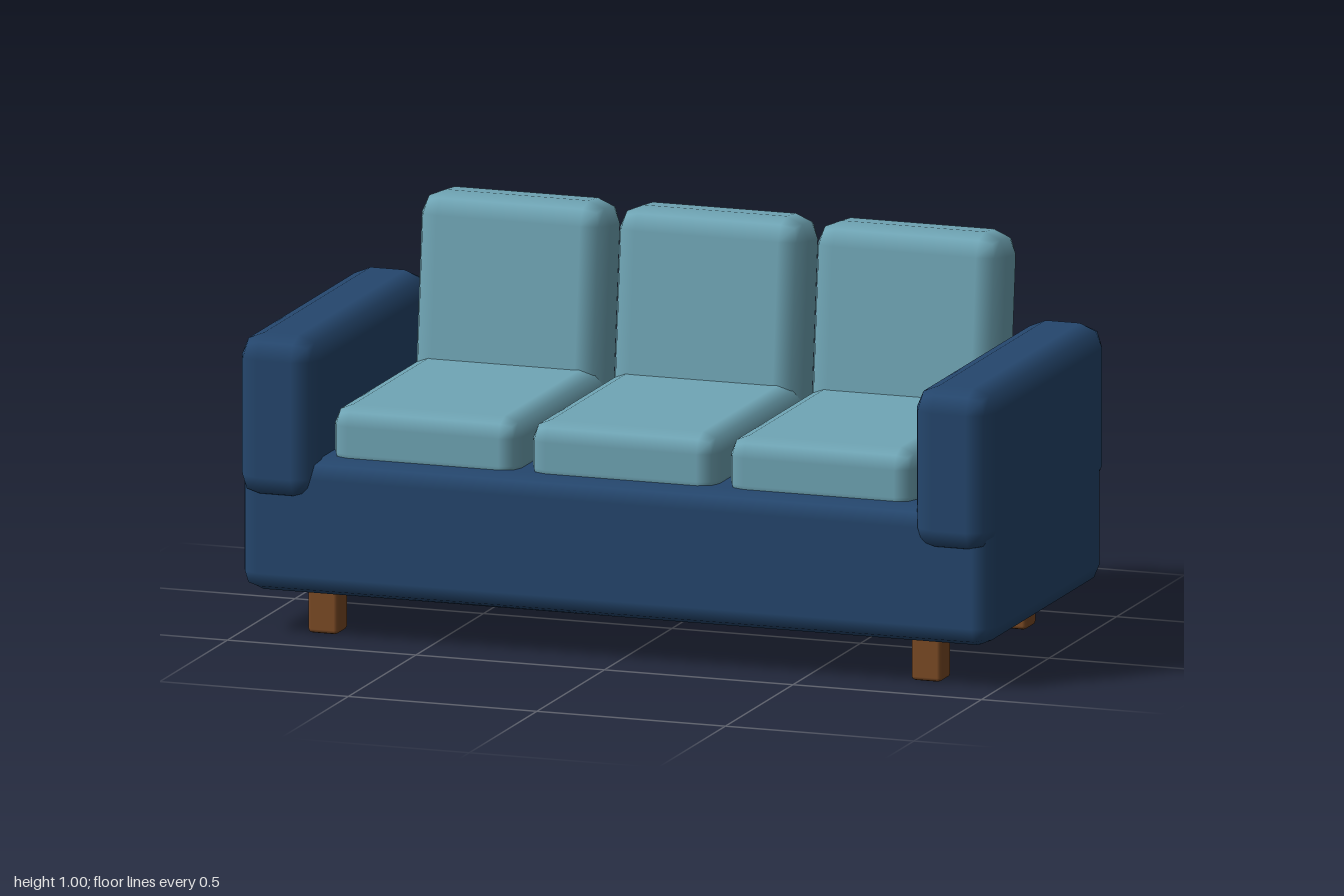
import * as THREE from 'three';
import { RoundedBoxGeometry } from 'three/addons/geometries/RoundedBoxGeometry.js';

export function createModel() {
  const navy = new THREE.MeshStandardMaterial({ name: 'navy fabric', color: 0x25476e });
  const teal = new THREE.MeshStandardMaterial({ name: 'teal cushion', color: 0x70a6b6 });
  const wood = new THREE.MeshStandardMaterial({ name: 'brown wood', color: 0x7c4b25 });

  const sofa = new THREE.Group();
  sofa.name = 'sofa';

  // Bevelled block with a two-facet rounded edge
  function block(name, material, [w, h, d], radius, [x, y, z], tilt = 0) {
    const mesh = new THREE.Mesh(new RoundedBoxGeometry(w, h, d, 1, radius), material);
    mesh.name = name;
    mesh.position.set(x, y, z);
    mesh.rotation.x = tilt;
    sofa.add(mesh);
  }

  // Base
  block('base', navy, [1.996, 0.35, 0.86], 0.05, [0, 0.285, 0]);

  // Arms and legs on both sides
  for (const [side, s] of [['left', 1], ['right', -1]]) {
    block(side + 'Arm', navy, [0.21, 0.42, 0.905], 0.06, [s * 0.895, 0.56, 0]);
    block(side + 'FrontLeg', wood, [0.08, 0.15, 0.08], 0.01, [s * 0.8, 0.075, 0.315]);
    block(side + 'BackLeg', wood, [0.08, 0.15, 0.08], 0.01, [s * 0.8, 0.075, -0.315]);
  }

  // Three seat cushions, each with a back cushion leaning backwards
  for (const [side, x] of [['left', 0.525], ['middle', 0], ['right', -0.525]]) {
    block(side + 'SeatCushion', teal, [0.5, 0.17, 0.7], 0.05, [x, 0.505, 0.03]);
    block(side + 'BackCushion', teal, [0.5, 0.59, 0.19], 0.06, [x, 0.705, -0.322], -0.105);
  }

  return sofa;
}
